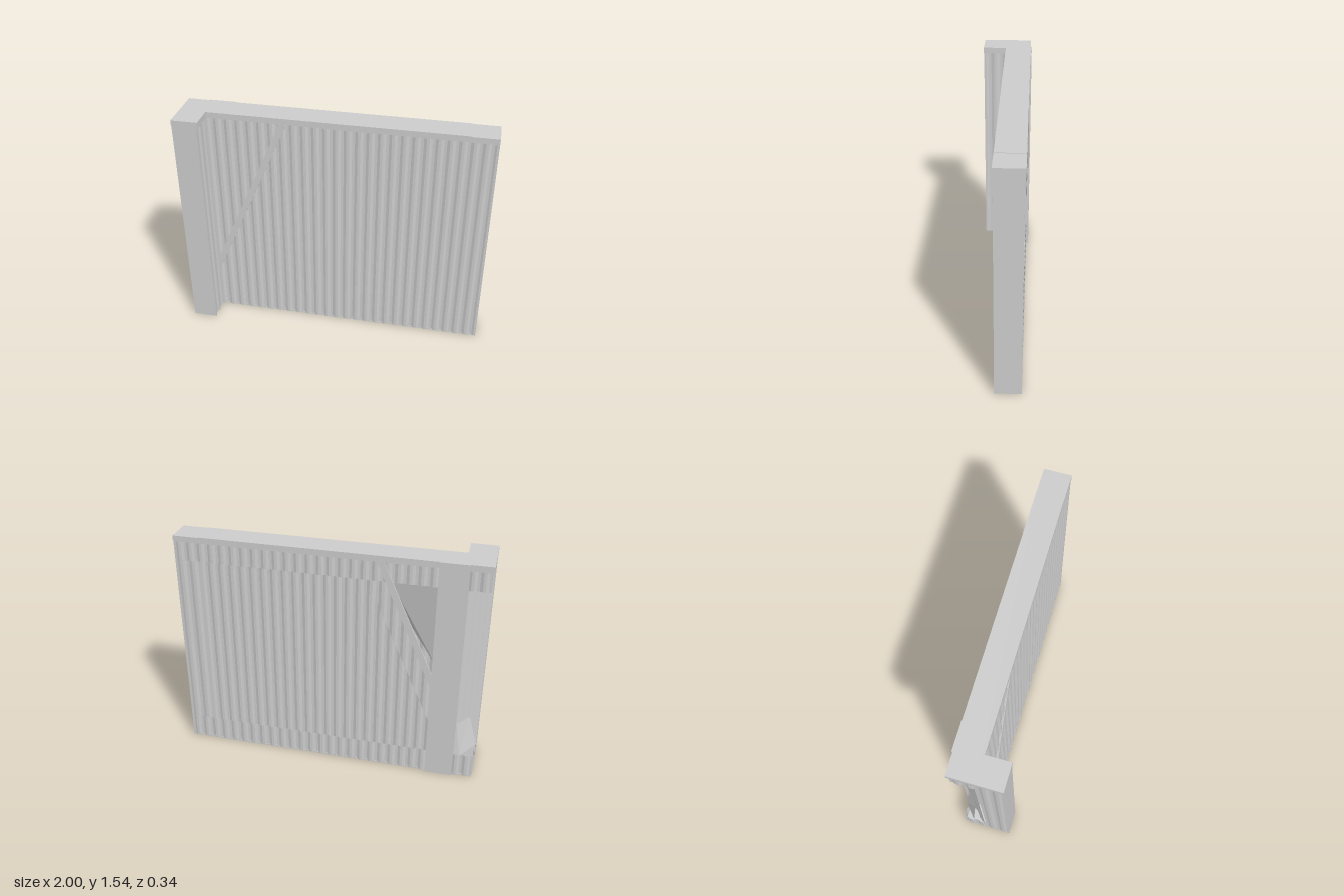
import * as THREE from 'three';

const mat = new THREE.MeshStandardMaterial({ color: 0xcccccc, side: THREE.DoubleSide });
const PITCH = 0.07, WAVE = 0.004;

export function createModel() {
  const group = new THREE.Group();

  const add = (name, geometry) => {
    const mesh = new THREE.Mesh(geometry, mat);
    mesh.name = name;
    group.add(mesh);
    return mesh;
  };

  // Box given by its limits
  const box = (name, x0, x1, y0, y1, z0, z1) => {
    const g = new THREE.BoxGeometry(x1 - x0, y1 - y0, z1 - z0);
    g.translate((x0 + x1) / 2, (y0 + y1) / 2, (z0 + z1) / 2);
    return add(name, g);
  };

  // Folded metal sheet running along x or z; its edges and depth may be functions
  const sheet = (name, axis, a0, a1, low, high, at) => {
    const n = Math.max(2, Math.round((a1 - a0) / PITCH)) * 4;
    const g = new THREE.PlaneGeometry(1, 1, n, 1);
    const p = g.attributes.position;
    const value = (f, a) => (typeof f === 'function' ? f(a) : f);
    for (let i = 0; i < p.count; i++) {
      const column = i % (n + 1);
      const a = a0 + (column / n) * (a1 - a0);
      const y = value(i > n ? low : high, a);
      const d = value(at, a) + (column % 4 < 2 ? WAVE : -WAVE);
      if (axis === 'x') p.setXYZ(i, a, y, d);
      else p.setXYZ(i, d, y, a);
    }
    const folded = g.toNonIndexed();
    folded.computeVertexNormals();
    return add(name, folded);
  };

  // Flat outline in x and y, extruded from z0 to z1
  const slab = (name, points, z0, z1) => {
    const shape = new THREE.Shape(points.map(([x, y]) => new THREE.Vector2(x, y)));
    const g = new THREE.ExtrudeGeometry(shape, { depth: z1 - z0, bevelEnabled: false });
    g.translate(0, 0, z0);
    return add(name, g);
  };

  // Thin four-cornered plate
  const plate = (name, corners) => {
    const g = new THREE.BufferGeometry();
    g.setAttribute('position', new THREE.Float32BufferAttribute(corners.flat(), 3));
    g.setIndex([0, 2, 1, 0, 3, 2]);
    const flat = g.toNonIndexed();
    flat.computeVertexNormals();
    return add(name, flat);
  };

  const TOP = 1.5, RAIL = 0.165, LINTEL = 1.37;
  const FLOOR = -0.012, BACK = -0.152;
  const SLOPE = 2.26;
  const brace = (offset) => (x) => offset + SLOPE * (x + 0.68);
  const braceX = (offset, y) => (y - offset) / SLOPE - 0.68;

  // Main wall: front sheet, and the inner sheet seen through the open back
  sheet('frontSheet', 'x', -0.84, 0.99, 0, TOP, 0.005);
  sheet('innerSheet', 'x', -0.86, 0.99, 0, TOP, FLOOR);
  box('wallBase', -0.86, 0.99, 0, 0.01, BACK, 0.004);
  box('endBoard', 0.985, 1, 0, TOP, -0.157, 0.01);

  // Sheets framing the open back
  sheet('bottomRail', 'x', -0.7, 0.99, 0, RAIL, BACK);
  sheet('topRail', 'x', -0.7, 0.99, LINTEL, TOP, BACK);
  sheet('sideStile', 'x', 0.83, 0.99, RAIL, LINTEL, BACK);

  // Slanting band across the open back
  const bandEnd = braceX(0.4, LINTEL);
  sheet('slantingBand', 'x', -0.69, bandEnd, brace(0.4),
    (x) => Math.min(LINTEL, brace(0.66)(x)), BACK);

  // Diagonal struts on both faces
  const strut = (name, xStart, z0, z1) => {
    slab(name, [
      [xStart, brace(0.66)(xStart)], [braceX(0.66, TOP), TOP],
      [braceX(0.76, TOP), TOP], [xStart, brace(0.76)(xStart)],
    ], z0, z1);
  };
  strut('frontStrut', -0.84, 0, 0.014);
  strut('backStrut', -0.7, -0.161, BACK + 0.003);

  // Plate leaning inward from the top rail, beside the strut
  plate('cornerPlate', [
    [-0.4, LINTEL, BACK], [-0.69, LINTEL, BACK], [-0.69, 0.74, FLOOR], [-0.36, 1.25, FLOOR],
  ]);

  // Deep post closing the wall at the back
  box('backPost', -0.86, -0.68, 0, 1.54, -0.17, FLOOR);

  // Return column, flat in front and folded sheet on its other sides
  box('returnCore', -0.985, -0.85, 0, TOP, 0.005, 0.155);
  box('returnFrontBoard', -0.998, -0.838, 0, TOP, 0.152, 0.167);
  sheet('returnInnerSheet', 'z', 0, 0.155, 0, TOP, -0.842);
  sheet('returnOuterSheet', 'z', 0, 0.155, 0, TOP, -0.993);

  // Chamfered back corner of the return
  sheet('chamferSheet', 'x', -0.995, -0.855, 0, TOP, (x) => -0.145 - (x + 0.86));

  // Short corner wraps below and above the chamfer
  for (const [name, y0, y1] of [['lowerWrap', 0, RAIL], ['upperWrap', LINTEL, TOP]]) {
    sheet(name + 'Back', 'x', -0.993, -0.855, y0, y1, BACK);
    sheet(name + 'Side', 'z', BACK, 0, y0, y1, -0.993);
  }
  box('returnBase', -0.99, -0.85, 0, 0.01, BACK, 0.01);

  // Board leaning from the lower wrap onto the chamfer
  plate('leaningBoard', [
    [-0.9, 0.165, -0.16], [-1, 0.22, -0.08], [-0.94, 0.43, -0.075], [-0.865, 0.41, -0.15],
  ]);

  // Cap along the top
  box('wallCap', -1, 0.83, TOP, 1.54, -0.163, 0.013);
  box('capEnd', 0.83, 1, TOP, 1.537, -0.163, 0.014);
  box('returnCap', -1, -0.828, TOP, 1.54, 0.013, 0.168);

  return group;
}
